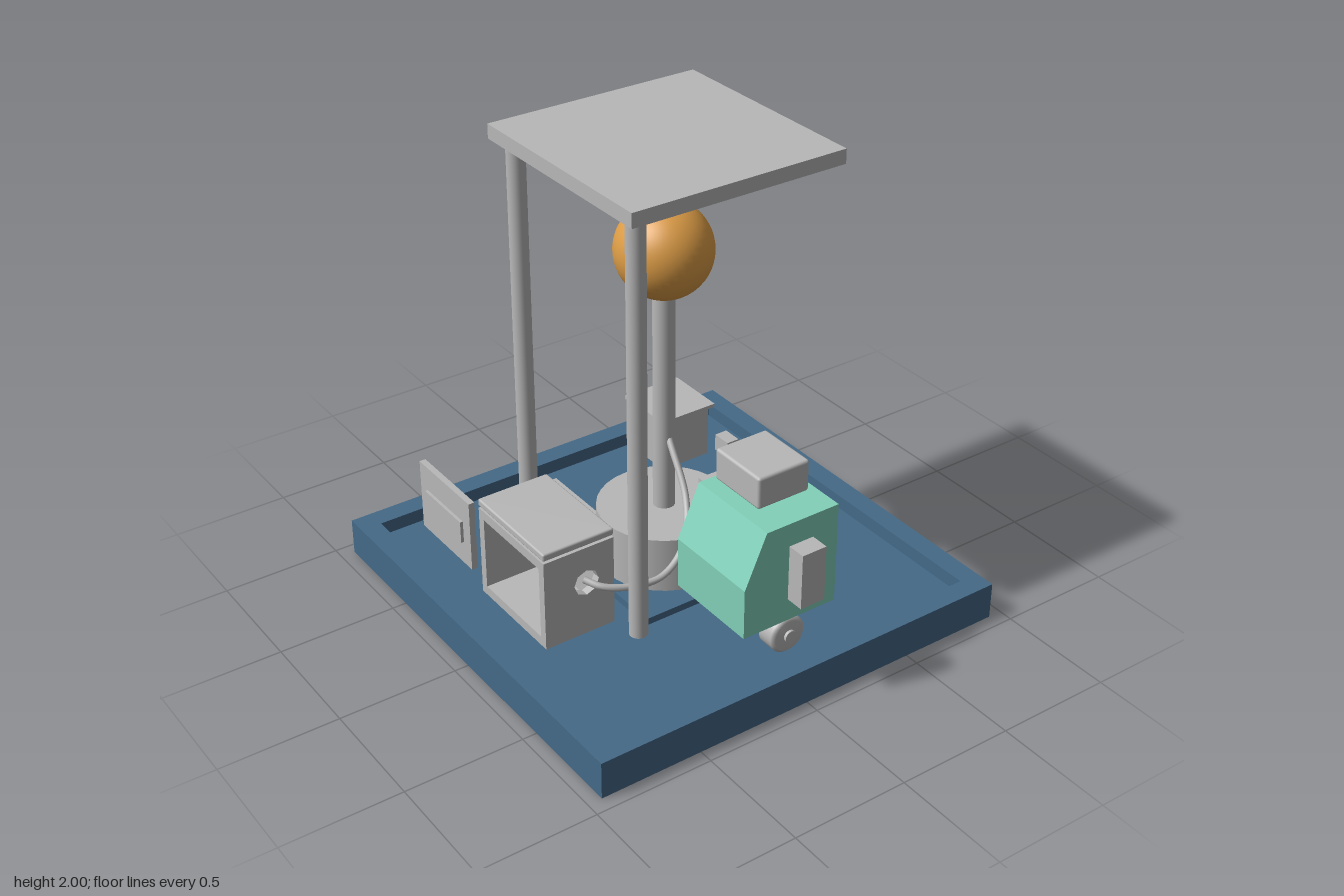
import * as THREE from 'three';
import { RoundedBoxGeometry } from 'three/addons/geometries/RoundedBoxGeometry.js';

const mat = (name, color, side = THREE.FrontSide) => {
  const m = new THREE.MeshStandardMaterial({ color, side });
  m.name = name;
  return m;
};

export function createModel() {
  const blue = mat('platform blue', 0x446987);
  const grey = mat('light grey', 0xb8b8b8);
  const teal = mat('mint green', 0x82d0b9);
  const orange = mat('amber', 0xdc9c46);

  const model = new THREE.Group();
  model.name = 'workshopDiorama';

  const group = (name) => {
    const g = new THREE.Group();
    g.name = name;
    model.add(g);
    return g;
  };
  const add = (parent, name, geometry, material) => {
    const m = new THREE.Mesh(geometry, material);
    m.name = name;
    parent.add(m);
    return m;
  };
  // box from its minimum and maximum on each axis
  const box = (parent, name, material, x0, x1, y0, y1, z0, z1, radius = 0) => {
    const size = [x1 - x0, y1 - y0, z1 - z0];
    const g = radius ? new RoundedBoxGeometry(...size, 2, radius) : new THREE.BoxGeometry(...size);
    const m = add(parent, name, g, material);
    m.position.set((x0 + x1) / 2, (y0 + y1) / 2, (z0 + z1) / 2);
    return m;
  };
  // upright cylinder standing between two heights
  const column = (parent, name, material, x, z, r, y0, y1, sides = 32) => {
    const m = add(parent, name, new THREE.CylinderGeometry(r, r, y1 - y0, sides), material);
    m.position.set(x, (y0 + y1) / 2, z);
    return m;
  };
  const rect = (S, x0, x1, y0, y1) => new S([
    new THREE.Vector2(x0, y0), new THREE.Vector2(x1, y0),
    new THREE.Vector2(x1, y1), new THREE.Vector2(x0, y1),
  ]);
  // horizontal rectangular ring
  const ring = (parent, name, material, x0, x1, z0, z1, wall, y0, y1) => {
    const s = rect(THREE.Shape, x0, x1, -z1, -z0);
    s.holes.push(rect(THREE.Path, x0 + wall, x1 - wall, -z1 + wall, -z0 - wall));
    const g = new THREE.ExtrudeGeometry(s, { depth: y1 - y0, bevelEnabled: false });
    g.rotateX(-Math.PI / 2).translate(0, y0, 0);
    return add(parent, name, g, material);
  };
  // side profile given as [z, y], extruded along x
  const sideExtrude = (shape, x0, x1) => {
    const g = new THREE.ExtrudeGeometry(shape, { depth: x1 - x0, bevelEnabled: false });
    return g.rotateY(Math.PI / 2).translate(x0, 0, 0);
  };

  // platform with raised rim
  const base = group('platform');
  box(base, 'platformFloor', blue, -0.945, 0.94, 0, 0.1, -0.94, 0.94);
  ring(base, 'platformRim', blue, -0.945, 0.94, -0.94, 0.94, 0.09, 0.1, 0.16);
  box(base, 'drumSlab', blue, -0.315, 0.3, 0.1, 0.13, -0.3, 0.3);

  // canopy on two posts
  const canopy = group('canopy');
  box(canopy, 'canopyRoof', grey, -0.478, 0.467, 1.94, 2, -0.473, 0.467);
  for (const x of [-0.4, 0.387]) column(canopy, 'canopyPost', grey, x, 0.397, 0.038, 0.16, 1.94);

  // drum, mast and globe
  const beacon = group('beacon');
  column(beacon, 'drum', grey, -0.006, 0, 0.275, 0.16, 0.4);
  column(beacon, 'mast', grey, -0.006, 0, 0.045, 0.4, 1.36);
  add(beacon, 'globe', new THREE.SphereGeometry(0.195, 40, 28), orange).position.set(-0.006, 1.54, 0);

  // open-fronted cabinet with an octagonal port in its side
  const cabinet = group('cabinet');
  const [cx0, cx1, cz0, cz1] = [-0.2, 0.27, 0.43, 0.745];
  box(cabinet, 'cabinetBottom', grey, cx0, cx1 - 0.035, 0.16, 0.2, cz0, cz1);
  box(cabinet, 'cabinetTop', grey, cx0, cx1 - 0.035, 0.515, 0.555, cz0, cz1);
  box(cabinet, 'cabinetLeftWall', grey, cx0, cx0 + 0.035, 0.2, 0.515, cz0, cz1);
  box(cabinet, 'cabinetBack', grey, cx0 + 0.035, cx1 - 0.035, 0.2, 0.515, cz0, cz0 + 0.03);
  const side = rect(THREE.Shape, -cz1, -cz0, 0.16, 0.555);
  const port = [];
  for (let i = 0; i < 8; i++) {
    const a = (i / 8) * Math.PI * 2;
    port.push(new THREE.Vector2(-0.555 + 0.056 * Math.cos(a), 0.395 + 0.056 * Math.sin(a)));
  }
  side.holes.push(new THREE.Path(port));
  add(cabinet, 'cabinetPortWall', sideExtrude(side, cx1 - 0.035, cx1), grey);
  box(cabinet, 'cabinetLid', grey, cx0 - 0.002, cx1 + 0.002, 0.565, 0.597, cz0, cz1 + 0.002, 0.008);

  // hose from the port up to the mast
  const path = new THREE.CatmullRomCurve3([
    [0.25, 0.397, 0.555], [0.31, 0.38, 0.51], [0.35, 0.36, 0.4], [0.355, 0.355, 0.26],
    [0.31, 0.42, 0.13], [0.2, 0.54, 0.04], [0.03, 0.72, 0],
  ].map((p) => new THREE.Vector3(...p)));
  add(model, 'hose', new THREE.TubeGeometry(path, 48, 0.014, 10), mat('hose grey', 0xb8b8b8, THREE.DoubleSide));

  // display panel
  const panel = group('displayPanel');
  box(panel, 'panelBoard', grey, -0.715, -0.322, 0.18, 0.494, 0.695, 0.722);
  box(panel, 'panelScreen', grey, -0.66, -0.377, 0.285, 0.383, 0.722, 0.735);

  // shallow tray
  const tray = group('tray');
  ring(tray, 'trayWalls', grey, -0.675, -0.2, 0.095, 0.445, 0.03, 0.1, 0.2);
  box(tray, 'trayFloor', grey, -0.645, -0.23, 0.1, 0.125, 0.125, 0.415);

  // bin with overhanging lid, and a small block beside it
  const bin = group('bin');
  box(bin, 'binBody', grey, -0.755, -0.515, 0.16, 0.4, -0.595, -0.355);
  box(bin, 'binLid', grey, -0.777, -0.495, 0.4, 0.416, -0.615, -0.335);
  box(model, 'smallBlock', grey, -0.52, -0.43, 0.16, 0.237, -0.7, -0.64);

  // wheeled robot
  const robot = group('robot');
  const rx = 0.625;
  const profile = new THREE.Shape([
    [-0.232, 0.335], [0.2, 0.335], [0.2, 0.77], [-0.135, 0.77], [-0.232, 0.55],
  ].map((p) => new THREE.Vector2(...p)));
  add(robot, 'robotBody', sideExtrude(profile, rx - 0.21, rx + 0.21), teal);
  column(robot, 'robotNeck', grey, rx, 0, 0.043, 0.77, 0.83, 24);
  box(robot, 'robotHead', grey, rx - 0.133, rx + 0.133, 0.82, 0.955, -0.118, 0.118, 0.012);
  column(robot, 'robotStrut', grey, rx, 0, 0.042, 0.24, 0.335, 24);
  const axle = column(robot, 'axle', grey, rx, 0, 0.026, 0.035, 0.445, 20);
  axle.rotation.z = Math.PI / 2;
  const wheelProfile = [[0, -0.05], [0.065, -0.05], [0.08, -0.035], [0.08, 0.035], [0.065, 0.05], [0, 0.05]]
    .map((p) => new THREE.Vector2(...p));
  for (const s of [-1, 1]) {
    const wheel = add(robot, 'wheel', new THREE.LatheGeometry(wheelProfile, 32), grey);
    wheel.rotation.z = Math.PI / 2;
    wheel.position.set(rx + s * 0.143, 0.24, 0);
    const ax = rx + s * 0.282;
    box(robot, s > 0 ? 'leftArm' : 'rightArm', grey, ax - 0.039, ax + 0.039, 0.463, 0.7, -0.055, 0.055);
  }
  return model;
}
